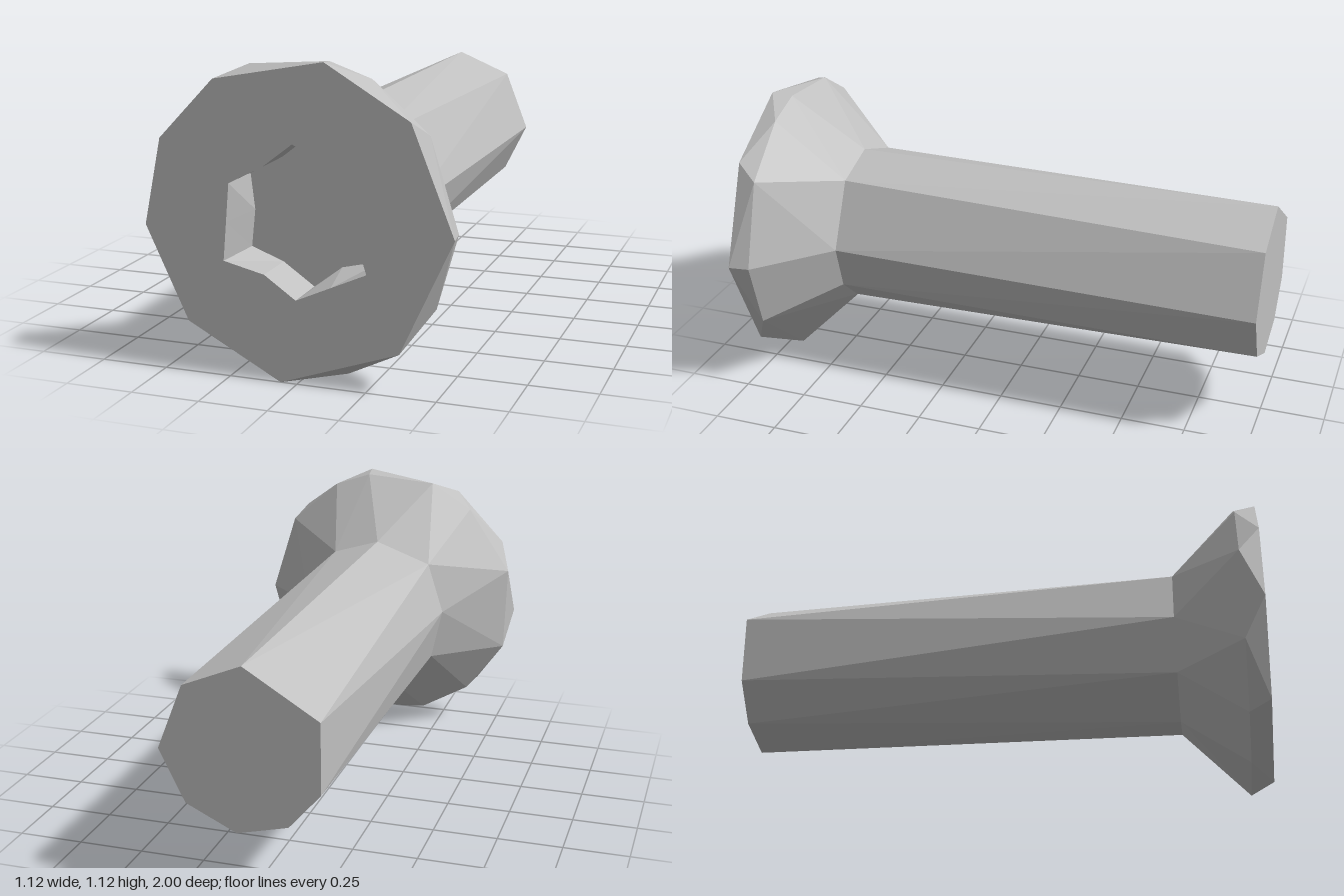
import * as THREE from 'three';
import { ConvexGeometry } from 'three/addons/geometries/ConvexGeometry.js';

const FRONT = 1, RIM = 0.92, NECK = 0.67, BACK = -1, FLOOR = 0.83;

// Cross-sections as [x, y] rings
const faceRing = [[0.11, 1.12], [0.41, 0.94], [0.56, 0.56], [0.37, 0.15], [-0.06, 0],
  [-0.405, 0.185], [-0.56, 0.52], [-0.495, 0.83], [-0.29, 1.045]];
const rimRing = [[0.1, 1.112], [0.25, 1.06], [0.45, 0.885], [0.55, 0.56], [0.475, 0.295],
  [0.16, 0.03], [-0.17, 0.04], [-0.37, 0.155], [-0.53, 0.37], [-0.54, 0.72], [-0.36, 0.985], [-0.19, 1.09]];
const neckRing = [[-0.01, 0.875], [0.18, 0.816], [0.3, 0.565], [0.25, 0.39], [0.13, 0.285],
  [-0.05, 0.265], [-0.26, 0.377], [-0.305, 0.584], [-0.238, 0.792]];
const endRing = [[-0.01, 0.875], [0.206, 0.785], [0.3, 0.545], [0.205, 0.352], [0.018, 0.263],
  [-0.17, 0.311], [-0.285, 0.444], [-0.285, 0.707]];
const floorRing = [[-0.005, 0.84], [0.1, 0.755], [0.235, 0.69], [0.21, 0.565], [0.25, 0.415], [0.105, 0.38],
  [0, 0.3], [-0.115, 0.38], [-0.235, 0.425], [-0.22, 0.56], [-0.235, 0.69], [-0.115, 0.755]];

// Socket mouth: same star, with three of its lobes cut straight
const mouthRing = floorRing.map((p) => [...p]);
mouthRing[2] = [0.255, 0.715];
mouthRing[4] = [0.255, 0.415];
mouthRing[8] = [-0.265, 0.415];
mouthRing[10] = [-0.24, 0.69];
for (const i of [1, 5, 9]) {
  mouthRing[i] = [0, 1].map((k) => (mouthRing[i - 1][k] + mouthRing[i + 1][k]) / 2);
}

const at = (ring, z) => ring.map(([x, y]) => new THREE.Vector3(x, y, z));
const flat = (ring) => ring.map(([x, y]) => new THREE.Vector2(x, y));

function fromPositions(positions) {
  const g = new THREE.BufferGeometry();
  g.setAttribute('position', new THREE.Float32BufferAttribute(positions, 3));
  g.computeVertexNormals();
  return g;
}

// Convex skin of some rings, leaving out triangles that lie wholly in an open end
function openHull(points, isOpen) {
  const p = new ConvexGeometry(points).attributes.position;
  const out = [];
  for (let i = 0; i < p.count; i += 3) {
    if (isOpen([p.getZ(i), p.getZ(i + 1), p.getZ(i + 2)])) continue;
    for (let j = i; j < i + 3; j++) out.push(p.getX(j), p.getY(j), p.getZ(j));
  }
  return fromPositions(out);
}

export function createModel() {
  const model = new THREE.Group();
  model.name = 'screw';
  const steel = new THREE.MeshStandardMaterial({ color: 0xc0c0c0 });
  steel.name = 'steel grey';
  const add = (name, geometry, z = 0) => {
    const mesh = new THREE.Mesh(geometry, steel);
    mesh.name = name;
    mesh.position.z = z;
    model.add(mesh);
  };

  // Countersunk head, open at the face and at the neck
  add('head', openHull(
    [...at(faceRing, FRONT), ...at(rimRing, RIM), ...at(neckRing, NECK)],
    (zs) => zs.every((z) => z > 0.999) || zs.every((z) => z < NECK + 0.001)));

  // Shaft, open where it meets the head
  add('shaft', openHull([...at(neckRing, NECK), ...at(endRing, BACK)],
    (zs) => zs.every((z) => z > NECK - 0.001)));

  // Flat face with the star opening
  const face = new THREE.Shape(flat(faceRing));
  face.holes.push(new THREE.Path(flat(mouthRing)));
  add('headFace', new THREE.ShapeGeometry(face), FRONT);

  // Star socket walls and floor
  const mouth = at(mouthRing, FRONT), floor = at(floorRing, FLOOR), walls = [];
  mouth.forEach((a, i) => {
    const j = (i + 1) % mouth.length;
    for (const v of [a, floor[i], mouth[j], mouth[j], floor[i], floor[j]]) walls.push(v.x, v.y, v.z);
  });
  add('socketWalls', fromPositions(walls));
  add('socketFloor', new THREE.ShapeGeometry(new THREE.Shape(flat(floorRing))), FLOOR);

  return model;
}
